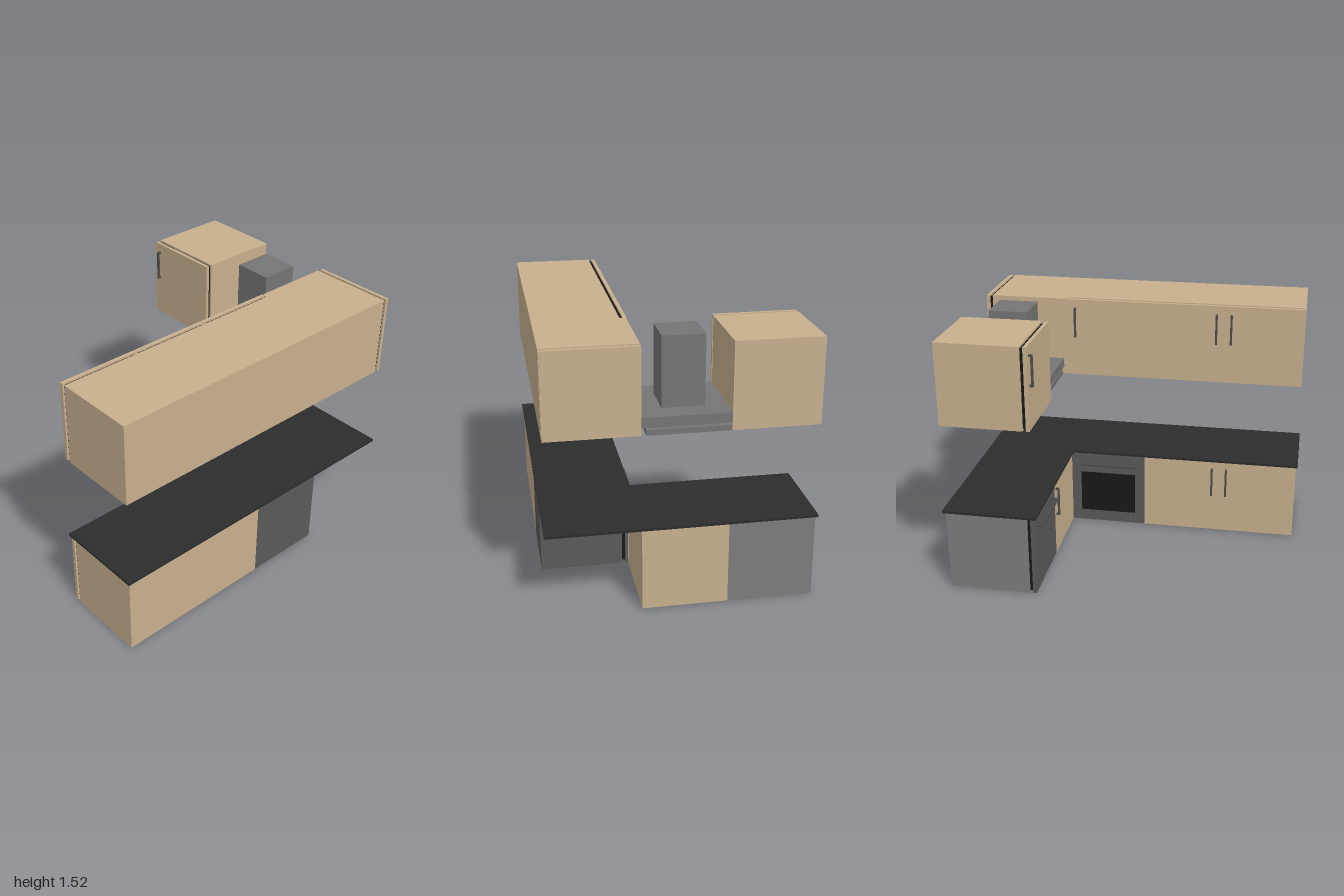
import * as THREE from 'three';

const mat = (color) => new THREE.MeshStandardMaterial({ color });
const wood = mat(0xc8b08e);
const ovenGrey = mat(0x5a5a5a);
const steel = mat(0x7d7d7d);
const hoodGrey = mat(0x757575);
const black = mat(0x181818);
const worktopMat = mat(0x2c2c2c);
const handleMat = mat(0x4c4c4c);

// Box given by its minimum and maximum corners
function box(parent, name, material, [x0, y0, z0], [x1, y1, z1]) {
  const mesh = new THREE.Mesh(new THREE.BoxGeometry(x1 - x0, y1 - y0, z1 - z0), material);
  mesh.position.set((x0 + x1) / 2, (y0 + y1) / 2, (z0 + z1) / 2);
  mesh.name = name;
  parent.add(mesh);
  return mesh;
}

// Bar handle with two feet, standing off the door face at local z = 0
function barHandle(length, vertical) {
  const handle = new THREE.Group();
  handle.name = vertical ? 'doorHandle' : 'applianceHandle';
  const t = 0.006, out = vertical ? 0.022 : 0.04, h = length / 2;
  box(handle, 'handleBar', handleMat, [-h, -t, out - 2 * t], [h, t, out]);
  for (const s of [-1, 1]) {
    const c = s * (h - t);
    box(handle, 'handleFoot', handleMat, [c - t, -t, 0], [c + t, t, out - 2 * t]);
  }
  if (vertical) handle.rotation.z = Math.PI / 2;
  return handle;
}

const DEPTH = 0.48, SEAL = 0.495, FACE = 0.52;

// Cabinet with its back at local z = 0 and its doors toward local +z
function cabinet(name, { width, y0, y1, doors = 1, handles = [], body = wood, door = wood }) {
  const unit = new THREE.Group();
  unit.name = name;
  const w = width / 2;
  box(unit, 'carcass', body, [-w, y0, 0], [w, y1, DEPTH]);
  const dw = width / doors;
  for (let i = 0; i < doors; i++) {
    const a = -w + i * dw, b = a + dw;
    box(unit, 'doorSeal', black, [a + 0.012, y0 + 0.012, DEPTH], [b - 0.012, y1 - 0.012, SEAL + 0.004]);
    box(unit, 'door', door, [a + 0.001, y0 + 0.001, SEAL + 0.004], [b - 0.001, y1 - 0.001, FACE]);
  }
  for (const [x, y, length, vertical] of handles) {
    const h = barHandle(length, vertical);
    h.position.set(x, y, FACE);
    unit.add(h);
  }
  return unit;
}

function place(parent, unit, x, z, turn) {
  unit.position.set(x, 0, z);
  unit.rotation.y = turn;
  parent.add(unit);
}

export function createModel() {
  const kitchen = new THREE.Group();
  kitchen.name = 'cornerKitchen';
  const low = { y0: 0, y1: 0.487 }, high = { y0: 1.027, y1: 1.513 };
  const lowY = 0.345, highY = 1.368, grip = 0.185;
  const toBack = Math.PI, toRight = -Math.PI / 2, toLeft = Math.PI / 2;

  // Long run, doors toward -z
  const pair = (y) => [[-0.045, y, grip, true], [0.045, y, grip, true]];
  place(kitchen, cabinet('doubleBaseCabinet', { ...low, width: 0.97, doors: 2, handles: pair(lowY) }), -0.505, 0.74, toBack);
  place(kitchen, cabinet('doubleWallCabinet', { ...high, width: 0.97, doors: 2, handles: pair(highY) }), -0.505, 0.74, toBack);
  place(kitchen, cabinet('singleWallCabinet', { ...high, width: 0.48, handles: [[-0.195, highY, grip, true]] }), 0.22, 0.74, toBack);

  const oven = cabinet('oven', { ...low, width: 0.48, body: ovenGrey, door: ovenGrey, handles: [[0, 0.415, 0.36, false]] });
  box(oven, 'ovenWindow', black, [-0.178, 0.075, FACE], [0.178, 0.35, FACE + 0.003]);
  place(kitchen, oven, 0.22, 0.74, toBack);

  // Corner wall cabinet, door on the +x end
  place(kitchen, cabinet('cornerWallCabinet', { ...high, width: 0.515 }), 0.46, 0.4825, toLeft);

  // Short run, doors toward -x
  place(kitchen, cabinet('singleBaseCabinet', { ...low, width: 0.48, handles: [[-0.205, lowY, grip, true]] }), 0.98, -0.015, toRight);
  place(kitchen, cabinet('dishwasher', { ...low, width: 0.485, body: steel, door: ovenGrey, handles: [[0, 0.415, 0.36, false]] }), 0.98, -0.4975, toRight);
  place(kitchen, cabinet('endWallCabinet', { ...high, width: 0.485, handles: [[-0.2, highY, grip, true]] }), 0.98, -0.4975, toRight);

  // L-shaped worktop, outlined in x and -z, then laid flat
  const outline = [[-1, 0.75], [1, 0.75], [1, -0.75], [0.445, -0.75], [0.445, 0.21], [-1, 0.21]];
  const shape = new THREE.Shape(outline.map(([x, z]) => new THREE.Vector2(x, -z)));
  const top = new THREE.Mesh(new THREE.ExtrudeGeometry(shape, { depth: 0.014, bevelEnabled: false }), worktopMat);
  top.name = 'worktop';
  top.rotation.x = -Math.PI / 2;
  top.position.y = 0.486;
  kitchen.add(top);

  // Extractor hood: two slabs with a recess, and a chimney
  const hood = new THREE.Group();
  hood.name = 'extractorHood';
  box(hood, 'hoodBase', hoodGrey, [0.5, 1.027, -0.253], [0.98, 1.058, 0.2]);
  box(hood, 'hoodRecess', hoodGrey, [0.53, 1.058, -0.225], [0.95, 1.073, 0.195]);
  box(hood, 'hoodCanopy', hoodGrey, [0.495, 1.073, -0.256], [0.98, 1.127, 0.224]);
  box(hood, 'chimney', hoodGrey, [0.62, 1.127, -0.135], [0.855, 1.522, 0.1]);
  kitchen.add(hood);

  return kitchen;
}
